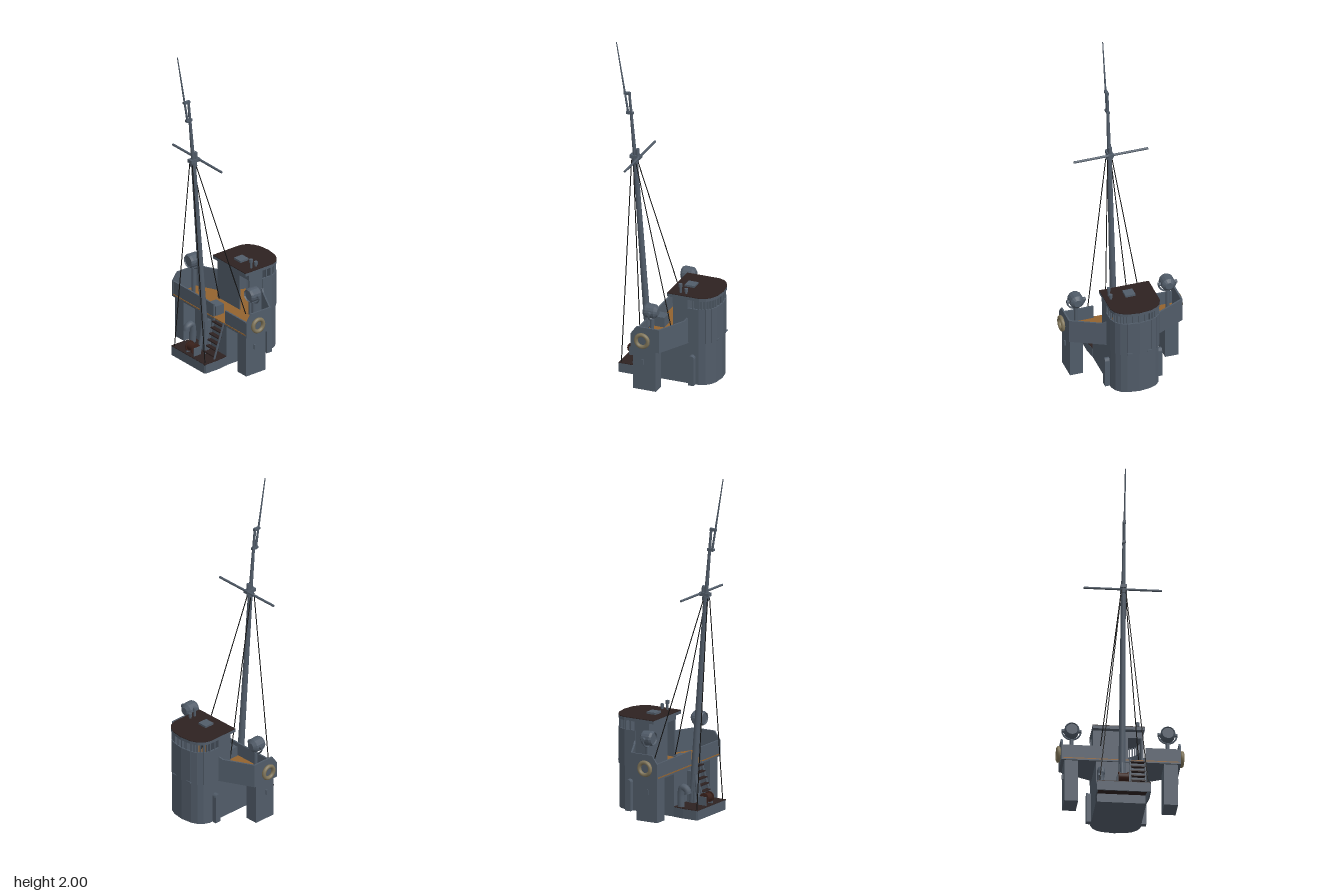
import * as THREE from 'three';

const paint = (name, color, side = THREE.FrontSide) => {
  const m = new THREE.MeshStandardMaterial({ color, side });
  m.name = name;
  return m;
};

export function createModel() {
  const root = new THREE.Group();
  root.name = 'shipBridge';
  const grey = paint('hull grey', 0x515c69);
  const brown = paint('dark deck brown', 0x2e2221);
  const ochre = paint('wooden deck', 0x93632f);
  const tan = paint('life ring tan', 0x81765a);
  const black = paint('rigging black', 0x121212);
  const rust = paint('winch rust', 0x3a211b);

  const add = (name, geo, mat, x = 0, y = 0, z = 0) => {
    const m = new THREE.Mesh(geo, mat);
    m.name = name;
    m.position.set(x, y, z);
    root.add(m);
    return m;
  };
  // box given by its centre and size
  const box = (name, mat, x, y, z, w, h, d) => add(name, new THREE.BoxGeometry(w, h, d), mat, x, y, z);
  // round bar between two points
  const bar = (name, mat, a, b, r0, r1 = r0, sides = 10) => {
    const p = new THREE.Vector3(...a), q = new THREE.Vector3(...b);
    const m = add(name, new THREE.CylinderGeometry(r1, r0, p.distanceTo(q), sides), mat);
    m.position.copy(p).add(q).multiplyScalar(0.5);
    m.quaternion.setFromUnitVectors(new THREE.Vector3(0, 1, 0), q.sub(p).normalize());
    return m;
  };
  // horizontal slab from an [x, z] outline
  const slab = (name, mat, pts, y0, y1) => {
    const shape = new THREE.Shape(pts.map(([x, z]) => new THREE.Vector2(x, -z)));
    const g = new THREE.ExtrudeGeometry(shape, { depth: y1 - y0, bevelEnabled: false });
    return add(name, g.rotateX(-Math.PI / 2), mat, 0, y0, 0);
  };
  // upright plate from a to b in [x, z], with a [distance 0..1, y] profile
  const panel = (name, a, b, profile, t = 0.01) => {
    const dx = b[0] - a[0], dz = b[1] - a[1], len = Math.hypot(dx, dz);
    const shape = new THREE.Shape(profile.map(([s, y]) => new THREE.Vector2(s * len, y)));
    const g = new THREE.ExtrudeGeometry(shape, { depth: t, bevelEnabled: false }).translate(0, 0, -t / 2);
    const m = add(name, g, grey, a[0], 0, a[1]);
    m.rotation.y = Math.atan2(-dz, dx);
    return m;
  };
  const rect = (y0, y1) => [[0, y0], [1, y0], [1, y1], [0, y1]];

  // rounded back of the tower, from +x round to -x
  const half = [[0.145, -0.17], [0.145, -0.24], [0.13, -0.277], [0.105, -0.302], [0.07, -0.318]];
  const arc = [...half, [0, -0.328], ...half.map(([x, z]) => [-x, z]).reverse()];

  // lower tower
  slab('towerHull', grey, [[-0.145, 0.09], [0.145, 0.09], ...arc], 0, 0.262);

  // wing deck
  const deck = [[-0.345, 0.1], [0.345, 0.1], [0.345, -0.075], [0.15, -0.175], [-0.15, -0.175], [-0.345, -0.075]];
  slab('wingDeckPlate', grey, deck, 0.255, 0.264);
  slab('wingDeckPlanks', ochre, deck.map(([x, z]) => [x * 0.99, z * 0.99]), 0.264, 0.27);
  slab('wheelhouseFloor', ochre, [[0.14, -0.08], ...arc.map(([x, z]) => [x * 0.97, z * 0.98]), [-0.14, -0.08]], 0.262, 0.271);

  // bulwarks
  panel('frontBulwark', [-0.345, 0.091], [0.035, 0.091], rect(0.255, 0.35));
  panel('frontBulwark', [0.14, 0.091], [0.345, 0.091], rect(0.255, 0.35));
  for (const s of [-1, 1]) {
    panel('sideBulwark', [s * 0.34, 0.1], [s * 0.34, -0.078],
      [[0, 0.255], [1, 0.255], [1, 0.4], [0.2, 0.4], [0, 0.35]]);
    panel('backBulwark', [s * 0.342, -0.073], [s * 0.14, -0.176],
      [[0, 0.255], [1, 0.255], [1, 0.42], [0.85, 0.4], [0, 0.4]]);
  }

  // wheelhouse walls, window posts and roof
  for (let i = 0; i < arc.length - 1; i++) {
    panel('wheelhouseWall', arc[i], arc[i + 1], rect(0.26, 0.475));
    for (const k of [0, 0.5]) {
      const x = arc[i][0] + (arc[i + 1][0] - arc[i][0]) * k;
      const z = arc[i][1] + (arc[i + 1][1] - arc[i][1]) * k;
      box('windowPost', grey, x * 0.985, 0.503, z * 0.99, 0.009, 0.06, 0.009);
    }
  }
  for (const s of [-1, 1]) panel('cabinSideWall', [s * 0.14, -0.08], [s * 0.14, -0.175], rect(0.26, 0.532));
  panel('cabinFrontWall', [-0.145, -0.082], [0.055, -0.082], rect(0.26, 0.532));
  panel('doorLintel', [0.055, -0.082], [0.145, -0.082], rect(0.49, 0.532));
  const roof = [[-0.15, -0.045], [0.15, -0.045], [0.15, -0.245], [0.136, -0.282], [0.11, -0.307],
    [0.07, -0.326], [0, -0.335], [-0.07, -0.326], [-0.11, -0.307], [-0.136, -0.282], [-0.15, -0.245]];
  slab('roofRim', grey, roof, 0.528, 0.546);
  slab('roofCovering', brown, roof, 0.546, 0.55);
  box('roofHatch', grey, 0, 0.555, -0.135, 0.06, 0.014, 0.06);
  for (const [z, top] of [[-0.115, 0.605], [-0.15, 0.58]]) {
    bar('roofVent', grey, [0.115, 0.545, z], [0.115, top, z], 0.007);
    bar('roofVentCap', grey, [0.115, top - 0.02, z], [0.115, top, z], 0.011);
  }
  box('deckLocker', grey, 0, 0.3, 0.05, 0.072, 0.06, 0.06);

  // wing supports, tower pilasters, life rings and searchlights
  for (const s of [-1, 1]) {
    box('wingSupport', grey, s * 0.288, 0.13, 0.02, 0.08, 0.26, 0.14);
    box('supportCleat', grey, s * 0.331, 0.175, 0.03, 0.01, 0.03, 0.012);
    box('pilaster', grey, s * 0.156, 0.085, -0.203, 0.034, 0.17, 0.036);
    const cap = add('pilasterCap', new THREE.CylinderGeometry(0.018, 0.018, 0.034, 12), grey, s * 0.156, 0.168, -0.203);
    cap.rotation.z = Math.PI / 2;

    const ring = add('lifeRing', new THREE.TorusGeometry(0.037, 0.012, 8, 24), tan, s * 0.356, 0.32, 0.024);
    ring.rotation.y = Math.PI / 2;

    const x = s * 0.277, y = 0.482;
    bar('lightPost', grey, [x, 0.265, -0.005], [x, 0.43, -0.005], 0.012);
    const fork = add('lightFork', new THREE.TorusGeometry(0.053, 0.005, 6, 16, Math.PI), grey, x, y, -0.005);
    fork.rotation.z = Math.PI;
    bar('lightPivot', grey, [x - 0.057, y, -0.005], [x + 0.057, y, -0.005], 0.011);
    const profile = [[0, -0.045], [0.022, -0.045], [0.041, -0.028], [0.043, 0.025], [0.036, 0.038], [0.033, 0.03], [0, 0.03]];
    const drum = new THREE.LatheGeometry(profile.map(p => new THREE.Vector2(...p)), 16).toNonIndexed();
    drum.computeVertexNormals();
    add('searchlight', drum.rotateX(Math.PI / 2), grey, x, y, 0);
  }

  // forward platform, open underneath
  const base = [[-0.146, 0.09], [-0.155, 0.16], [-0.155, 0.255], [0.155, 0.255], [0.155, 0.16], [0.146, 0.09]];
  slab('platformDeck', brown, base, 0.052, 0.06);
  for (let i = 0; i < base.length - 1; i++) {
    const inset = ([x, z]) => [x * 0.98, z * 0.985];
    panel('platformSide', inset(base[i]), inset(base[i + 1]), rect(0, 0.056), 0.008);
  }

  // stairs to the wing deck
  for (const x of [0.05, 0.135]) {
    const rail = bar('stairStringer', grey, [x, 0.06, 0.17], [x, 0.27, 0.1], 0.008, 0.008, 4);
    rail.scale.x = 0.7;
  }
  for (let i = 0; i < 6; i++) {
    const t = (i + 0.5) / 6;
    box('stairTread', brown, 0.0925, 0.06 + 0.21 * t, 0.17 - 0.07 * t, 0.085, 0.007, 0.025);
  }

  // bent ventilator
  const bend = new THREE.CatmullRomCurve3([[0.125, 0.06], [0.125, 0.14], [0.135, 0.175], [0.165, 0.165], [0.172, 0.14]]
    .map(([z, y]) => new THREE.Vector3(-0.122, y, z)));
  const pipe = paint('ventilator grey', 0x515c69, THREE.DoubleSide);
  add('ventilator', new THREE.TubeGeometry(bend, 16, 0.021, 10), pipe);

  // winch
  bar('winchDrum', rust, [-0.024, 0.1, 0.222], [0.024, 0.1, 0.222], 0.024, 0.024, 14);
  for (const s of [-1, 1]) {
    bar('winchFlange', rust, [s * 0.024, 0.1, 0.222], [s * 0.03, 0.1, 0.222], 0.032, 0.032, 14);
    box('winchFrame', grey, s * 0.034, 0.085, 0.215, 0.006, 0.05, 0.05);
  }

  // mast, topmast, yard and fittings
  bar('mast', grey, [0, 0.06, 0.125], [0, 1.3, 0.217], 0.021, 0.014, 12);
  bar('upperMast', grey, [0, 1.28, 0.216], [0, 1.7, 0.253], 0.012, 0.007);
  bar('topmast', grey, [0, 1.56, 0.258], [0, 2, 0.333], 0.007, 0.003, 8);
  box('mastFoot', grey, 0, 0.15, 0.125, 0.034, 0.19, 0.05);
  bar('mastStrut', grey, [0, 0.06, 0.172], [0, 0.27, 0.138], 0.012);
  for (const [y, z] of [[1.57, 0.25], [1.69, 0.266]]) box('mastCap', grey, 0, y, z, 0.018, 0.014, 0.042);
  bar('yard', grey, [-0.225, 1.305, 0.187], [0.225, 1.305, 0.187], 0.007, 0.007, 8);
  box('yardBracket', grey, 0, 1.302, 0.212, 0.034, 0.02, 0.066);
  bar('mastCollar', grey, [0, 1.265, 0.214], [0, 1.295, 0.217], 0.021);
  bar('mastLamp', grey, [0, 1.31, 0.2], [0, 1.35, 0.203], 0.012);

  // rigging
  for (const s of [-1, 1]) {
    bar('foreStay', black, [s * 0.14, 0.06, 0.243], [s * 0.012, 1.28, 0.234], 0.003, 0.003, 5);
    bar('backStay', black, [s * 0.122, 0.27, -0.07], [s * 0.012, 1.28, 0.21], 0.003, 0.003, 5);
  }

  // small hand grips on the rounded back
  for (const [x, y] of [[-0.06, 0.27], [0.06, 0.27]]) {
    box('handGrip', grey, x, y, -0.324, 0.03, 0.006, 0.012);
  }
  return root;
}
